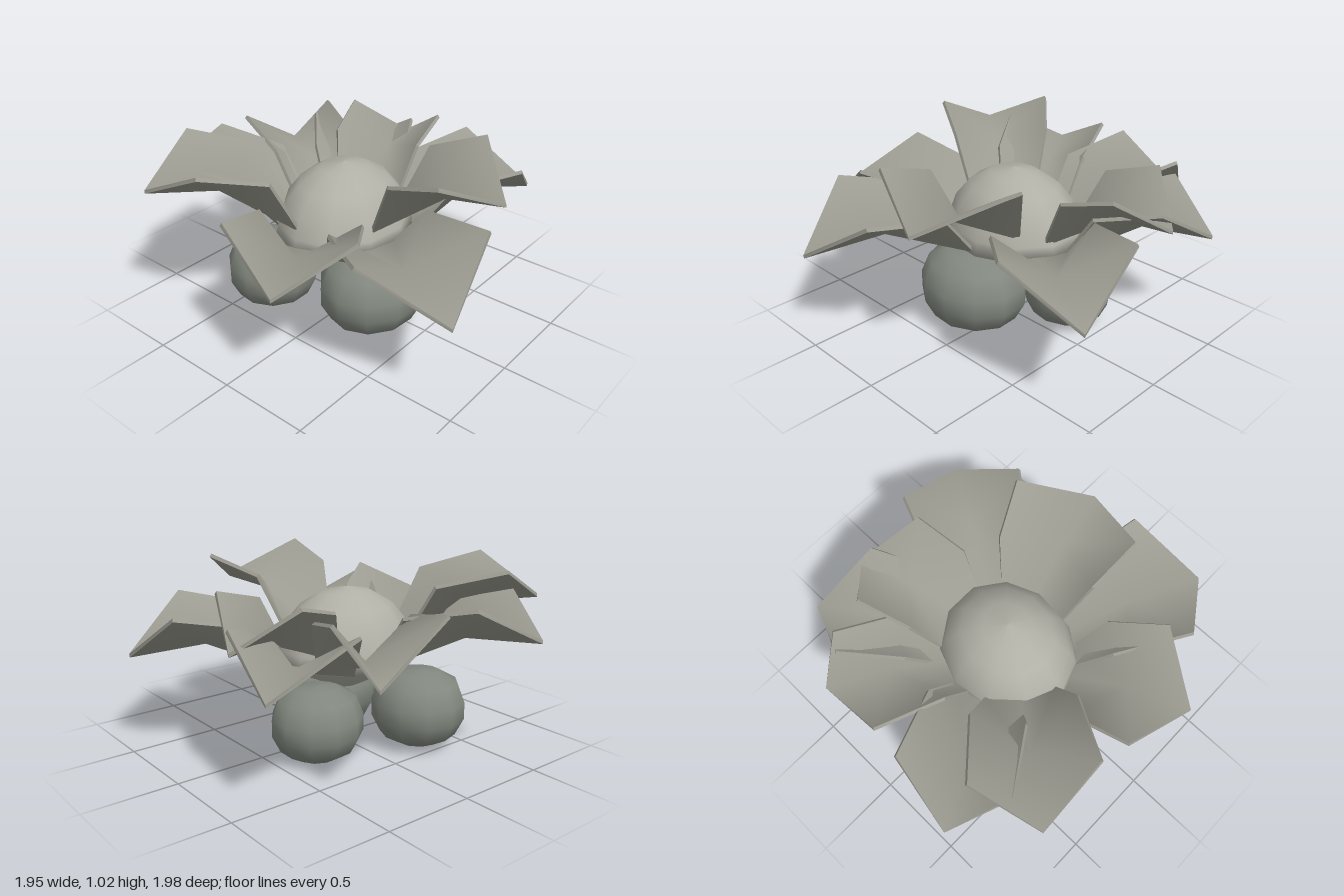
import * as THREE from 'three';

const paint = color => new THREE.MeshStandardMaterial({ color, side: THREE.DoubleSide });
const bulbMaterial = paint(0x82887f);
const heartMaterial = paint(0xb0b0a6);
const petalMaterial = paint(0x9c9c92);
const THICKNESS = 0.02;

// Unit profiles as [radius, height], from bottom to top
const BULB = [[0, -1], [0.48, -0.94], [0.82, -0.7], [1, -0.25], [1, 0.2], [0.84, 0.7], [0.48, 0.95], [0, 1]];
const HEART = [[0, -0.42], [0.2, -0.4], [1.03, 0], [0.98, 0.2], [0.87, 0.5], [0.66, 0.75], [0.36, 0.93], [0, 1]];

// Low-poly turned body, stretched along each axis
function turned(name, material, profile, center, radii, turn) {
  const geometry = new THREE.LatheGeometry(profile.map(p => new THREE.Vector2(...p)), 11);
  geometry.rotateY(turn);
  geometry.scale(...radii);
  const mesh = new THREE.Mesh(geometry, material);
  mesh.name = name;
  mesh.position.set(...center);
  return mesh;
}

// Thin folded leaf: wide base, raised sides, a low crease from base to tip
function petal(name, base, left, tip, right) {
  const [B, L, T, R] = [base, left, tip, right].map(p => new THREE.Vector3(...p));
  const side = R.clone().sub(L).setY(0).normalize();
  const sideCorners = (shoulder, sign) => {
    const root = B.clone().addScaledVector(side, sign * 0.19);
    const inner = root.clone().lerp(shoulder, 0.3).addScaledVector(side, sign * 0.04);
    inner.y = THREE.MathUtils.lerp(root.y, shoulder.y, 0.78);
    return [root, inner];
  };
  const [rootLeft, innerLeft] = sideCorners(L, -1);
  const [rootRight, innerRight] = sideCorners(R, 1);
  const middle = B.clone().lerp(T, 0.5);
  middle.y += 0.08;
  const outline = [B, rootLeft, innerLeft, L, T, R, innerRight, rootRight];
  const points = [...outline, middle];
  const n = outline.length;

  // Smooth normals of the mid surface give the direction of the thickness
  const faces = outline.map((_, i) => [n, i, (i + 1) % n]);
  const surface = new THREE.BufferGeometry().setFromPoints(points);
  surface.setIndex(faces.flat());
  surface.computeVertexNormals();
  const normals = points.map((_, i) =>
    new THREE.Vector3().fromBufferAttribute(surface.attributes.normal, i));
  const shifted = amount => points.map((p, i) => p.clone().addScaledVector(normals[i], amount));
  const upper = shifted(THICKNESS / 2);
  const lower = shifted(-THICKNESS / 2);

  const vertices = [...upper, ...lower];
  const index = [];
  for (const [a, b, c] of faces) {
    index.push(a, b, c, a + n + 1, c + n + 1, b + n + 1);
  }
  // Rim strip with its own vertices, so that its edges stay sharp
  for (let i = 0; i < n; i++) {
    const j = (i + 1) % n;
    const k = vertices.length;
    vertices.push(lower[i], lower[j], upper[j], upper[i]);
    index.push(k, k + 1, k + 2, k, k + 2, k + 3);
  }
  const geometry = new THREE.BufferGeometry().setFromPoints(vertices);
  geometry.setIndex(index);
  geometry.computeVertexNormals();
  const mesh = new THREE.Mesh(geometry, petalMaterial);
  mesh.name = name;
  return mesh;
}

export function createModel() {
  const model = new THREE.Group();
  model.name = 'flower';

  // Three bulbs that carry the flower
  const bulbs = new THREE.Group();
  bulbs.name = 'bulbs';
  bulbs.add(
    turned('frontBulb', bulbMaterial, BULB, [-0.09, 0.228, 0.205], [0.315, 0.228, 0.28], 0.2),
    turned('leftBulb', bulbMaterial, BULB, [0.265, 0.2, -0.175], [0.25, 0.2, 0.235], 0.1),
    turned('rightBulb', bulbMaterial, BULB, [-0.285, 0.22, -0.365], [0.255, 0.207, 0.255], 0.3)
  );
  model.add(bulbs);

  // Domed heart with a shallow cone below
  model.add(turned('heart', heartMaterial, HEART, [-0.03, 0.48, -0.05], [0.4, 0.39, 0.35], 0.15));

  // Petals as base, left shoulder, tip, right shoulder (seen from outside)
  const petals = new THREE.Group();
  petals.name = 'petals';
  const layout = {
    frontPetal: [[0.03, 0.6, 0.2], [-0.23, 1.01, 0.685], [0.16, 0.82, 0.83], [0.46, 1.01, 0.525]],
    frontLeftPetal: [[0.28, 0.49, 0.12], [0.585, 0.8, 0.68], [0.97, 0.53, 0.53], [0.92, 0.8, 0.11]],
    frontRightPetal: [[-0.18, 0.49, 0.2], [-0.735, 0.8, 0.6], [-0.52, 0.53, 0.99], [-0.08, 0.8, 0.89]],
    rightPetal: [[-0.35, 0.49, 0.05], [-0.88, 0.84, -0.08], [-0.98, 0.64, 0.33], [-0.62, 0.84, 0.535]],
    backRightPetal: [[-0.27, 0.6, -0.21], [-0.475, 1, -0.78], [-0.865, 0.81, -0.67], [-0.85, 1, -0.265]],
    backPetal: [[-0.13, 0.5, -0.31], [-0.115, 0.88, -0.91], [-0.51, 0.68, -0.99], [-0.66, 0.88, -0.66]],
    backLeftPetal: [[0.12, 0.5, -0.29], [0.575, 0.88, -0.69], [0.475, 0.61, -0.9], [0.055, 0.88, -0.89]],
    leftLowerPetal: [[0.27, 0.49, -0.2], [0.82, 0.8, -0.22], [0.88, 0.56, -0.62], [0.515, 0.8, -0.75]],
    leftUpperPetal: [[0.26, 0.56, -0.12], [0.715, 0.92, 0.045], [0.85, 0.7, -0.28], [0.595, 0.92, -0.5]]
  };
  for (const [name, corners] of Object.entries(layout)) {
    petals.add(petal(name, ...corners));
  }
  model.add(petals);
  return model;
}
